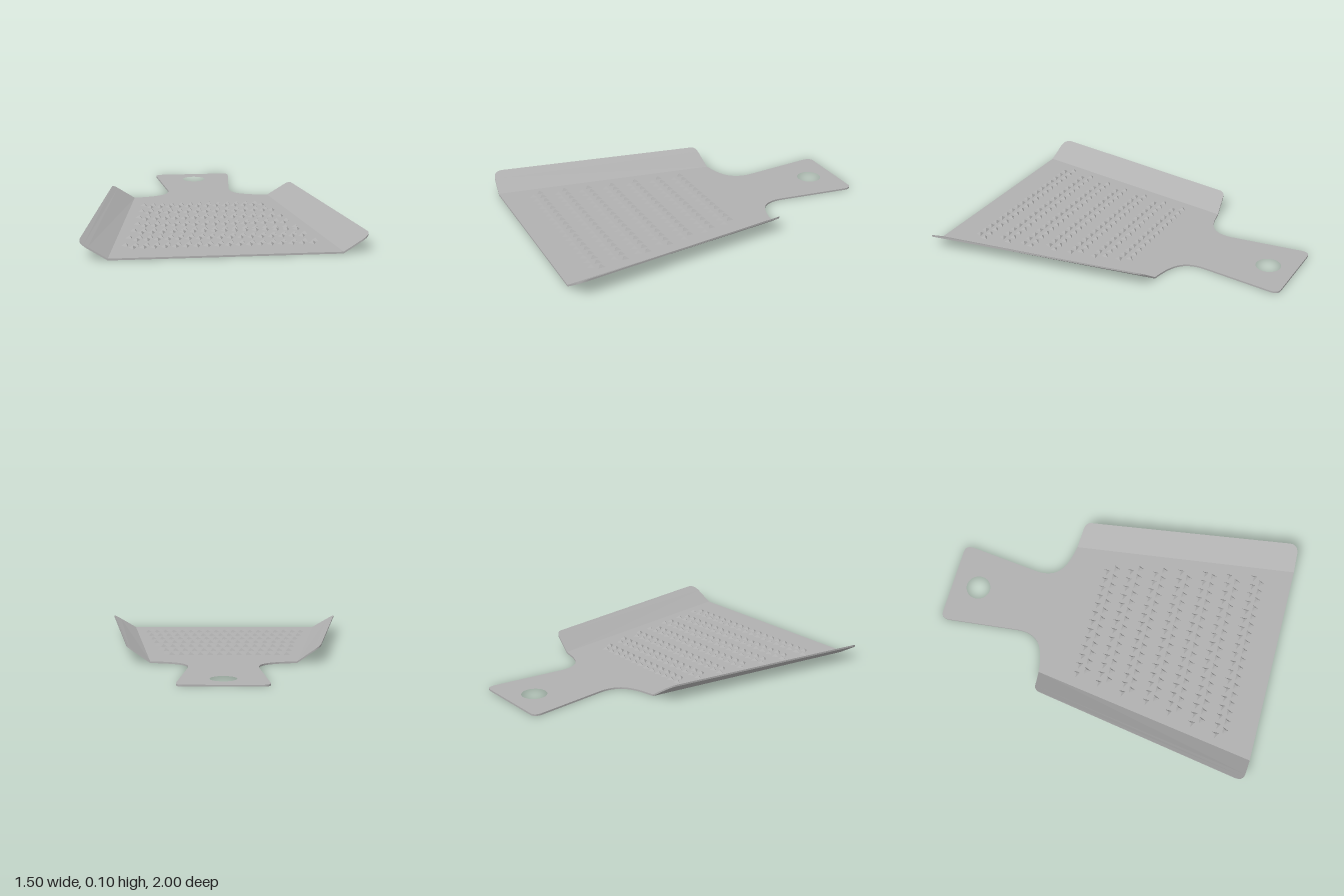
import * as THREE from 'three';
import { mergeGeometries } from 'three/addons/utils/BufferGeometryUtils.js';

const T = 0.01; // sheet thickness
const foldX = z => 0.42 + (z + 0.33) * 0.143; // bend line between base and flange
const rimX = z => 0.56 + (z + 0.28) * 0.157; // outer edge of the flange

// Extrude an outline drawn in (x, z) into a sheet lying on y = 0
function sheet(shape) {
  const g = new THREE.ExtrudeGeometry(shape, { depth: T, bevelEnabled: false, curveSegments: 16 });
  return g.rotateX(Math.PI / 2).translate(0, T, 0);
}

// Flat base with neck, handle and hanging hole
function baseGeometry() {
  const s = new THREE.Shape();
  s.moveTo(-0.61, 1);
  s.lineTo(0.61, 1);
  s.lineTo(0.42, -0.33);
  s.bezierCurveTo(0.28, -0.35, 0.19, -0.385, 0.197, -0.52);
  s.lineTo(0.245, -0.95);
  s.quadraticCurveTo(0.247, -1, 0.205, -1);
  s.lineTo(-0.205, -1);
  s.quadraticCurveTo(-0.247, -1, -0.245, -0.95);
  s.lineTo(-0.197, -0.52);
  s.bezierCurveTo(-0.19, -0.385, -0.28, -0.35, -0.42, -0.33);
  s.closePath();
  const hole = new THREE.Path();
  hole.absarc(0, -0.84, 0.073, 0, Math.PI * 2, true);
  s.holes.push(hole);
  return sheet(s);
}

// Side flange: outline with rounded corners, lifted from the bend line to the rim
function flangeGeometry(side) {
  const s = new THREE.Shape();
  s.moveTo(side * 0.42, -0.33);
  s.lineTo(side * 0.52, -0.316);
  s.quadraticCurveTo(side * 0.553, -0.312, side * 0.56, -0.28);
  s.lineTo(side * 0.75, 0.93);
  s.quadraticCurveTo(side * 0.757, 0.982, side * 0.71, 0.99);
  s.lineTo(side * 0.61, 1);
  s.closePath();
  const g = sheet(s);
  const p = g.attributes.position;
  for (let i = 0; i < p.count; i++) {
    const z = p.getZ(i);
    const t = (Math.abs(p.getX(i)) - foldX(z)) / (rimX(z) - foldX(z));
    p.setY(i, p.getY(i) + 0.09 * Math.max(0, t));
  }
  g.computeVertexNormals();
  return g;
}

// Paired rows of three-sided teeth: [z, first x, last x, count]
function teethGeometry() {
  const pointLeft = [
    [-0.11, -0.37, 0.31, 13], [0.03, -0.39, 0.35, 14], [0.18, -0.413, 0.373, 15], [0.33, -0.427, 0.427, 16],
    [0.475, -0.455, 0.455, 17], [0.62, -0.485, 0.478, 18], [0.77, -0.512, 0.508, 19],
  ];
  const pointFront = [
    [-0.057, -0.335, 0.342, 13], [0.085, -0.356, 0.382, 14], [0.23, -0.38, 0.41, 15], [0.382, -0.393, 0.4, 15],
    [0.528, -0.418, 0.45, 16], [0.673, -0.45, 0.454, 17], [0.82, -0.476, 0.483, 18],
  ];
  const teeth = [];
  const addRow = ([z, x0, x1, n], turn) => {
    for (let i = 0; i < n; i++) {
      const tooth = new THREE.ConeGeometry(0.024, 0.016, 3, 1, true).toNonIndexed();
      tooth.computeVertexNormals();
      tooth.rotateY(turn).translate(x0 + ((x1 - x0) * i) / (n - 1), T + 0.008, z);
      teeth.push(tooth);
    }
  };
  pointLeft.forEach(r => addRow(r, -Math.PI / 2));
  pointFront.forEach(r => addRow(r, 0.12));
  return mergeGeometries(teeth);
}

export function createModel() {
  const model = new THREE.Group();
  model.name = 'grater';
  const steel = new THREE.MeshStandardMaterial({ color: 0xb0b0b0 });
  steel.name = 'steel';
  const add = (name, geometry) => {
    const mesh = new THREE.Mesh(geometry, steel);
    mesh.name = name;
    model.add(mesh);
  };
  add('basePlate', baseGeometry());
  add('leftFlange', flangeGeometry(1));
  add('rightFlange', flangeGeometry(-1));
  add('teeth', teethGeometry());
  return model;
}
